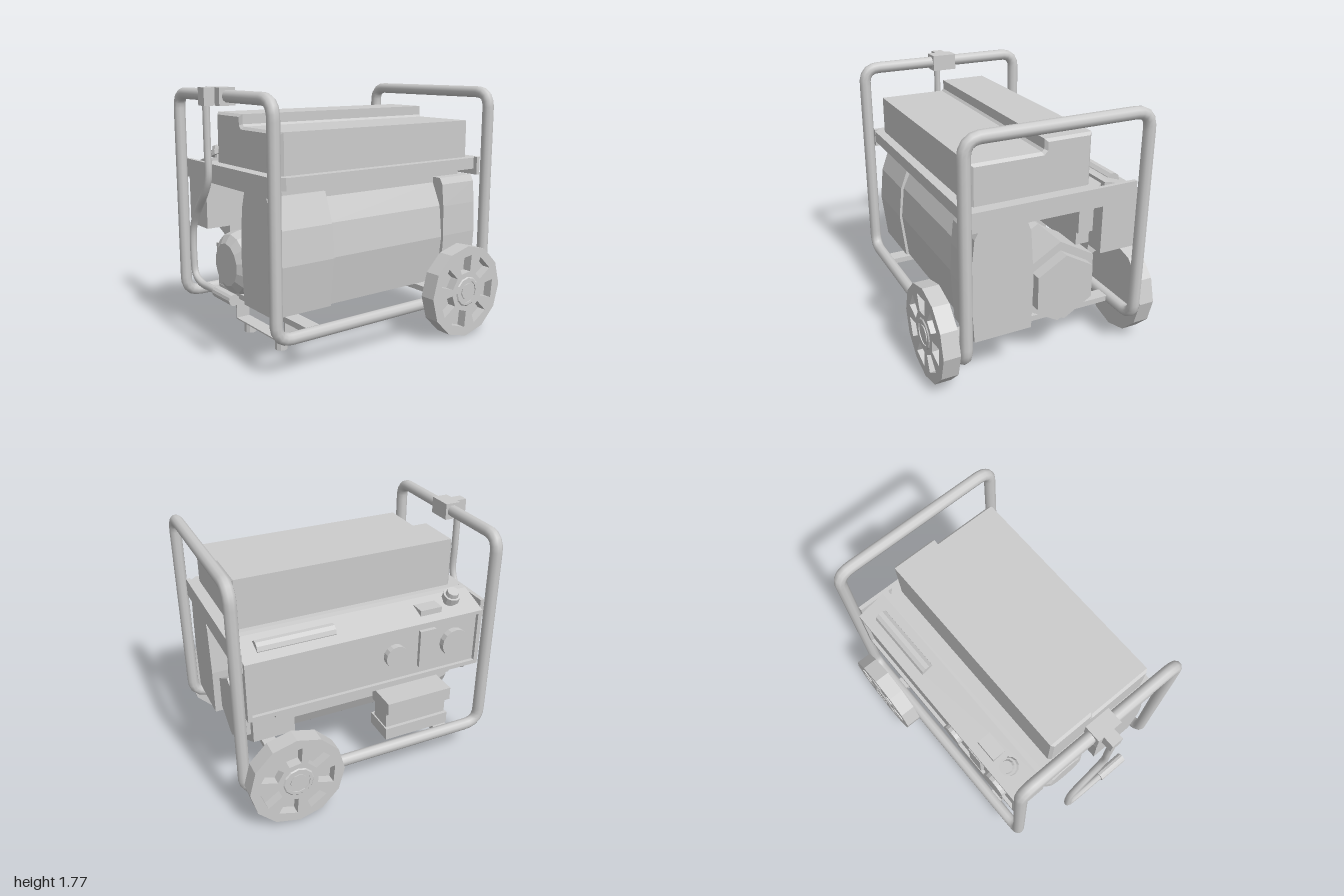
import * as THREE from 'three';

const flat = new THREE.MeshStandardMaterial({ color: 0xcccccc, flatShading: true, side: THREE.DoubleSide });
const smooth = new THREE.MeshStandardMaterial({ color: 0xcccccc });
const V = (x, y, z) => new THREE.Vector3(x, y, z);

export function createModel() {
  const root = new THREE.Group();
  const add = (name, geo, mat = flat, parent = root) => {
    const m = new THREE.Mesh(geo, mat);
    m.name = name;
    parent.add(m);
    return m;
  };
  // box from its limits
  const box = (name, x0, x1, y0, y1, z0, z1) =>
    add(name, new THREE.BoxGeometry(x1 - x0, y1 - y0, z1 - z0)
      .translate((x0 + x1) / 2, (y0 + y1) / 2, (z0 + z1) / 2));
  // [z, y] outline drawn out along x, with an optional bevel kept inside the limits
  const prism = (name, outline, x0, x1, bevel = 0) => {
    const shape = new THREE.Shape(outline.map(([z, y]) => new THREE.Vector2(-z, y)));
    const geo = new THREE.ExtrudeGeometry(shape, {
      depth: x1 - x0 - 2 * bevel, bevelEnabled: bevel > 0, bevelSize: bevel,
      bevelThickness: bevel, bevelOffset: -bevel, bevelSegments: 1 });
    return add(name, geo.translate(0, 0, bevel).rotateY(Math.PI / 2).translate(x0, 0, 0));
  };
  // turned solid along x: profile of [radius, x]
  const turned = (name, profile, sides, y, z) =>
    add(name, new THREE.LatheGeometry(profile.map(p => new THREE.Vector2(...p)), sides)
      .rotateY(Math.PI / sides).rotateZ(-Math.PI / 2).translate(0, y, z));

  // Tubular frame: one closed loop with rounded corners
  const c = [V(-.855, 1.715, .625), V(-.855, .252, .625), V(.957, .252, .625), V(.957, 1.715, .625),
    V(.957, 1.715, -.625), V(.957, .252, -.625), V(-.855, .252, -.625), V(-.855, 1.715, -.625)];
  const loop = new THREE.CurvePath();
  const toward = (a, b) => a.clone().add(b.clone().sub(a).setLength(.11));
  c.forEach((p, i) => {
    const prev = c[(i + 7) % 8], next = c[(i + 1) % 8];
    loop.add(new THREE.QuadraticBezierCurve3(toward(p, prev), p, toward(p, next)));
    loop.add(new THREE.LineCurve3(toward(p, next), toward(next, p)));
  });
  add('frame', new THREE.TubeGeometry(loop, 300, .041, 10, true), smooth);

  // Fuel tank with stepped top, on its tray
  prism('fuelTank', [[.535, 1.2], [.535, 1.515], [.06, 1.515], [.045, 1.53], [.045, 1.595],
    [-.285, 1.595], [-.285, 1.2]], -.745, .85, .018);
  const tray = new THREE.Shape([[-.81, -.55], [-.755, -.6], [.855, -.6], [.91, -.55], [.91, .31],
    [.86, .36], [-.755, .36], [-.81, .31]].map(p => new THREE.Vector2(...p)));
  add('tankTray', new THREE.ExtrudeGeometry(tray, { depth: .08, bevelEnabled: false })
    .rotateX(-Math.PI / 2).translate(0, 1.17, 0));
  box('trayUnderside', -.75, .85, 1.06, 1.17, .19, .45);
  for (const x of [-.83, .9]) box('sideBar', x, x + .03, 1.12, 1.25, -.59, .59);

  // Generator body: end housings and slimmer barrel
  prism('leftHousing', [[.47, 1.115], [.545, .915], [.568, .69], [.53, .36], [.17, .36],
    [.145, .7], [.165, 1.0], [.2, 1.115]], -.815, -.375);
  prism('rightHousing', [[.52, 1.115], [.545, 1.07], [.562, .915], [.57, .7], [.55, .36], [.15, .36],
    [.14, .7], [.165, 1.05], [.19, 1.115]], .6, .915);
  prism('barrel', [[.45, 1.075], [.525, .915], [.55, .69], [.51, .365], [.19, .365],
    [.155, .69], [.18, 1.0], [.22, 1.075]], -.4, .62);

  // Engine block with stepped hexagonal cover and domed far end
  turned('engineCover', [[0, .5], [.297, .5], [.297, .8], [.235, .8], [.235, .88], [0, .88]], 6, .565, -.12);
  turned('engineBody', [[0, -.79], [.15, -.79], [.21, -.75], [.23, -.68], [.23, .55], [0, .55]], 14, .56, -.12);
  box('carburettor', .25, .8, .89, 1.06, -.36, -.25);
  box('carburettorBase', .3, .76, .79, 1.12, -.36, -.26);

  // Battery box at the back
  box('batteryLid', -.61, -.11, .5, .595, -.6, -.36);
  box('batteryMiddle', -.6, -.12, .37, .5, -.555, -.385);
  box('batteryBase', -.61, -.11, .28, .37, -.58, -.35);

  // Control panel with a raised rim
  prism('controlPanel', [[-.36, 1.27], [-.4, 1.265], [-.62, 1.19], [-.595, 1.17], [-.595, .77], [-.36, .77]], -.8, .9);
  const rim = new THREE.Shape([[-.8, .77], [.9, .77], [.9, 1.19], [-.8, 1.19]].map(p => new THREE.Vector2(...p)));
  rim.holes.push(new THREE.Path([[-.77, .8], [-.77, 1.165], [.87, 1.165], [.87, .8]].map(p => new THREE.Vector2(...p))));
  add('panelRim', new THREE.ExtrudeGeometry(rim, { depth: .03, bevelEnabled: false }).translate(0, 0, -.62));
  prism('panelUnderside', [[-.4, .77], [-.57, .77], [-.57, .72], [-.4, .64]], -.6, .7);
  const dial = (x, r) => add('outlet', new THREE.CylinderGeometry(r, r, .06, 16)
    .rotateX(Math.PI / 2).translate(x, .99, -.608));
  dial(-.14, .08);
  dial(-.59, .1);
  box('breaker', -.44, -.32, .86, 1.13, -.622, -.58);
  box('topPlate', -.51, -.35, 1.2, 1.25, -.56, -.46);
  add('topGrip', new THREE.CylinderGeometry(.05, .05, .53, 10).rotateZ(Math.PI / 2).translate(.525, 1.22, -.5));
  const cap = new THREE.Group();
  cap.name = 'fuelCap';
  cap.position.set(-.61, 1.23, -.49);
  cap.rotation.x = -.4;
  add('capNeck', new THREE.CylinderGeometry(.04, .045, .1, 12), flat, cap);
  add('capLid', new THREE.CylinderGeometry(.06, .062, .04, 12).translate(0, .06, 0), flat, cap);
  add('capTop', new THREE.CylinderGeometry(.04, .045, .03, 12).translate(0, .095, 0), flat, cap);
  root.add(cap);

  // Pull handle hanging from a clip on the frame
  box('handleClip', -.915, -.8, 1.655, 1.77, -.09, .09);
  box('handleClipEnd', -.99, -.915, 1.655, 1.77, -.05, .03);
  const rod = new THREE.CatmullRomCurve3([[1.7, 0], [1.4, 0], [1.2, 0], [1.1, -.05], [.94, -.18], [.82, -.245],
    [.62, -.255], [.5, -.235], [.457, -.15], [.455, 0], [.455, .1]].map(([y, z]) => V(-.962, y, z)));
  add('handleRod', new THREE.TubeGeometry(rod, 60, .025, 8), smooth);
  add('handleGrip', new THREE.CylinderGeometry(.037, .037, .23, 12).rotateX(Math.PI / 2).translate(-.963, .455, .19));

  // Cross bars, foot bracket and feet
  box('axleBar', .59, .69, .235, .275, -.6, .6);
  box('footBar', -.605, -.5, .235, .275, -.6, .6);
  box('bracketBase', -.605, -.5, .07, .08, -.33, .33);
  for (const s of [-1, 1]) {
    box('bracketSide', -.605, -.5, .07, .24, s * .325 - .005, s * .325 + .005);
    add('foot', new THREE.CylinderGeometry(.045, .045, .075, 10).translate(-.552, .0375, s * .208 - .008));
  }

  // Wheels: twelve-sided tyre with seven recessed openings and a stepped hub
  const face = new THREE.Shape(Array.from({ length: 12 }, (_, i) => {
    const a = i * Math.PI / 6;
    return new THREE.Vector2(Math.sin(a) * .331, Math.cos(a) * .331);
  }));
  for (let i = 0; i < 7; i++) {
    const a = i * 2 * Math.PI / 7 - .13;
    face.holes.push(new THREE.Path([[-.042, .14], [-.068, .255], [.068, .255], [.042, .14]].map(([u, v]) =>
      new THREE.Vector2(u * Math.cos(a) + v * Math.sin(a), v * Math.cos(a) - u * Math.sin(a)))));
  }
  for (const s of [1, -1]) {
    const wheel = new THREE.Group();
    wheel.name = s > 0 ? 'frontWheel' : 'backWheel';
    wheel.position.set(.64, .331, s * .667);
    if (s < 0) wheel.rotation.y = Math.PI;
    add('tyreFace', new THREE.ExtrudeGeometry(face, { depth: .065, bevelEnabled: false }).translate(0, 0, .05), flat, wheel);
    add('tyre', new THREE.CylinderGeometry(.331, .331, .05, 12).rotateX(Math.PI / 2)
      .translate(0, 0, .025), flat, wheel);
    add('hub', new THREE.LatheGeometry([[.125, .1], [.1, .122], [.08, .122], [.08, .112], [.058, .112],
      [.058, .122], [0, .122]].map(p => new THREE.Vector2(...p)), 12).rotateX(Math.PI / 2), flat, wheel);
    root.add(wheel);
  }
  return root;
}
